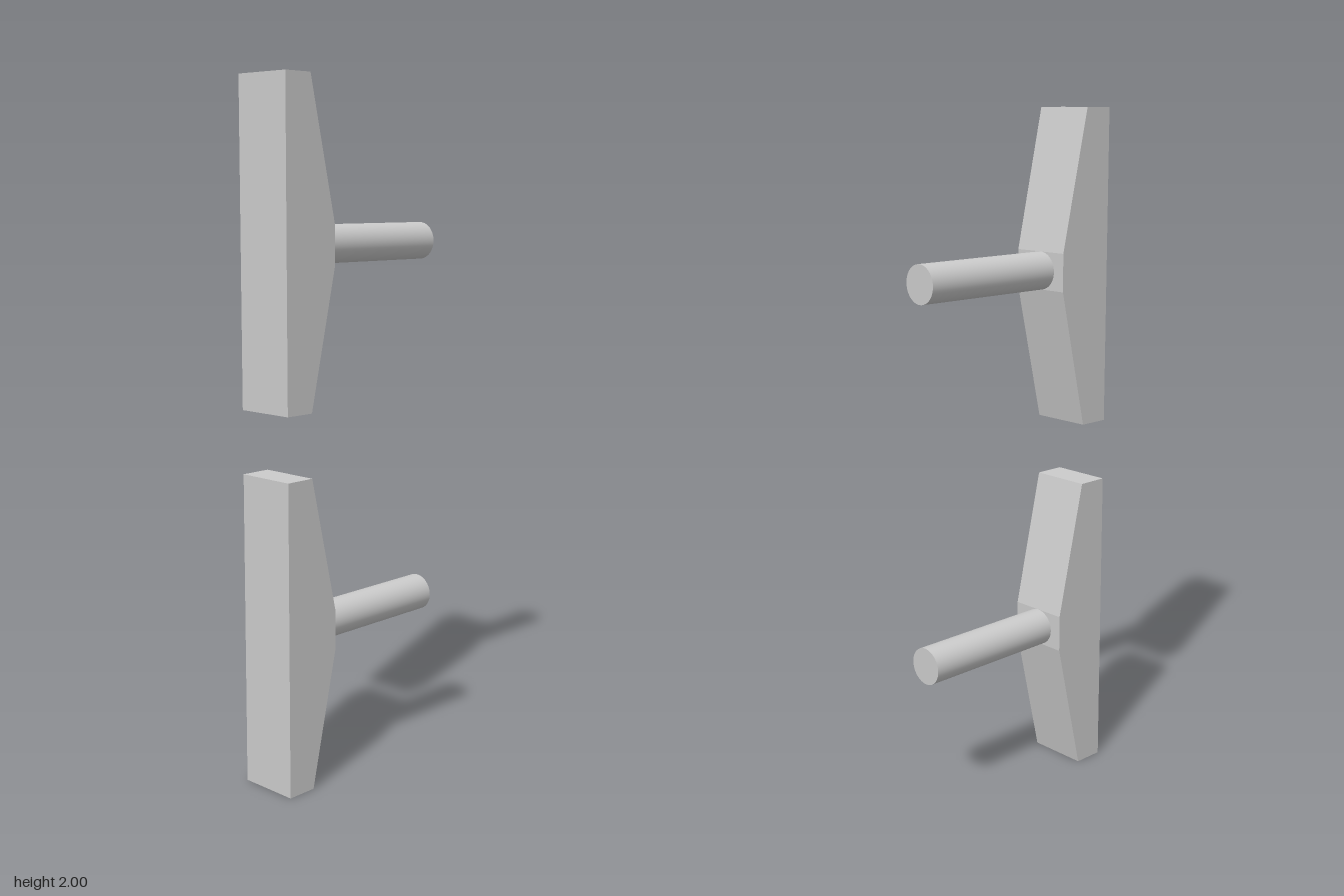
import * as THREE from 'three';

const WIDTH = 0.182, HALF = 0.4545, ROD_R = 0.0545;
const FRONT = 0.318, SHOULDER = 0.227, RIDGE = 0.136, REAR = -0.318;

export function createModel() {
  const model = new THREE.Group();
  model.name = 'pairOfHandles';
  const material = new THREE.MeshStandardMaterial({ color: 0xcccccc });

  // Side profile of the grip (z across, y up), tapering to a narrow flat at the back
  const profile = new THREE.Shape([
    [FRONT, -HALF], [FRONT, HALF], [SHOULDER, HALF],
    [RIDGE, ROD_R], [RIDGE, -ROD_R], [SHOULDER, -HALF],
  ].map(([z, y]) => new THREE.Vector2(z, y)));
  const gripGeometry = new THREE.ExtrudeGeometry(profile, { depth: WIDTH, bevelEnabled: false });
  gripGeometry.translate(0, 0, -WIDTH / 2).rotateY(-Math.PI / 2);

  // Round rod running backwards from the flat
  const rodGeometry = new THREE.CylinderGeometry(ROD_R, ROD_R, RIDGE - REAR, 48);
  rodGeometry.rotateX(Math.PI / 2).translate(0, 0, (RIDGE + REAR) / 2);

  // Two identical handles, one above the other
  for (const [name, y] of [['lowerHandle', HALF], ['upperHandle', 2 - HALF]]) {
    const handle = new THREE.Group();
    handle.name = name;
    handle.position.y = y;
    const grip = new THREE.Mesh(gripGeometry, material);
    grip.name = 'grip';
    const rod = new THREE.Mesh(rodGeometry, material);
    rod.name = 'rod';
    handle.add(grip, rod);
    model.add(handle);
  }
  return model;
}
